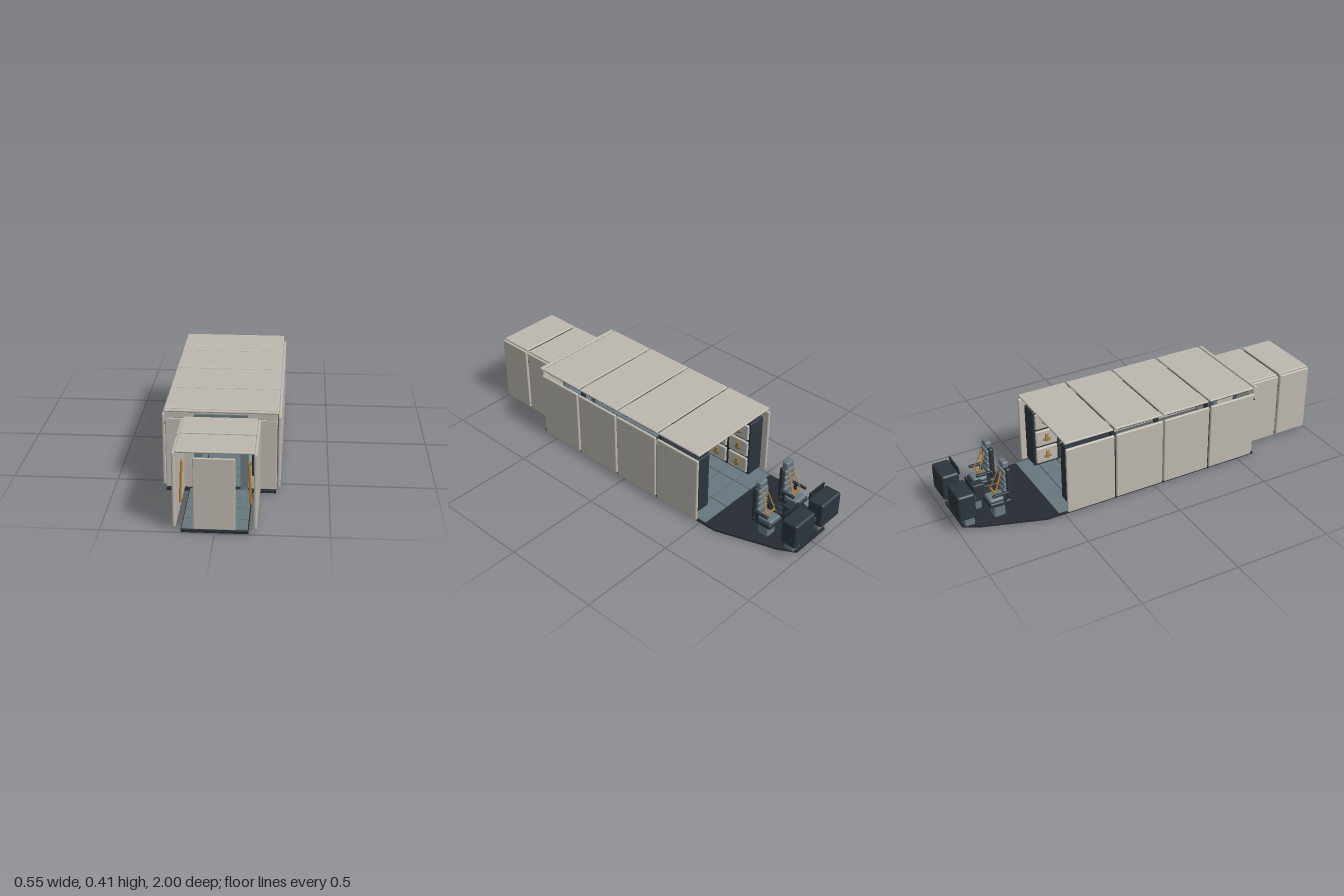
import * as THREE from 'three';
import { RoundedBoxGeometry } from 'three/addons/geometries/RoundedBoxGeometry.js';

function mat(name, color) {
  const m = new THREE.MeshStandardMaterial({ color });
  m.name = name;
  return m;
}

export function createModel() {
  const model = new THREE.Group();
  model.name = 'shipInterior';
  const ivory = mat('warm grey panel', 0xbdb8ae);
  const dark = mat('charcoal', 0x2c353d);
  const deck = mat('deck black', 0x252c31);
  const slate = mat('slate', 0x68787f);
  const orange = mat('ochre', 0xb87a2c);

  // Box given by its extents; r > 0 rounds the edges
  function box(parent, name, m, x0, x1, y0, y1, z0, z1, r = 0) {
    const w = x1 - x0, h = y1 - y0, d = z1 - z0;
    const g = r ? new RoundedBoxGeometry(w, h, d, 2, Math.min(r, w / 2.05, h / 2.05, d / 2.05))
      : new THREE.BoxGeometry(w, h, d);
    const mesh = new THREE.Mesh(g, m);
    mesh.name = name;
    mesh.position.set((x0 + x1) / 2, (y0 + y1) / 2, (z0 + z1) / 2);
    parent.add(mesh);
    return mesh;
  }
  // Same box on both sides of x = 0
  function pair(parent, name, m, x0, x1, ...rest) {
    box(parent, name, m, x0, x1, ...rest);
    box(parent, name, m, -x1, -x0, ...rest);
  }
  // Flat bar between two points
  function strap(parent, name, m, a, b, w, t) {
    const p = new THREE.Vector3(...a), q = new THREE.Vector3(...b);
    const mesh = new THREE.Mesh(new RoundedBoxGeometry(w, p.distanceTo(q), t, 2, Math.min(w, t) * 0.3), m);
    mesh.name = name;
    mesh.position.copy(p).lerp(q, 0.5);
    mesh.quaternion.setFromUnitVectors(new THREE.Vector3(0, 1, 0), q.sub(p).normalize());
    parent.add(mesh);
  }

  // Floors: cabin, corridor and tapering cockpit
  box(model, 'cabinFloor', deck, -0.255, 0.255, 0, 0.01, -0.53, 0.6);
  box(model, 'corridorFloor', deck, -0.147, 0.147, 0, 0.01, 0.6, 0.995);
  const outline = [[-0.255, 0.53], [0.255, 0.53], [0.255, 0.59], [0.155, 0.89], [0.11, 0.97],
    [-0.11, 0.97], [-0.155, 0.89], [-0.255, 0.59]].map(p => new THREE.Vector2(...p));
  const nose = new THREE.Mesh(
    new THREE.ExtrudeGeometry(new THREE.Shape(outline), { depth: 0.01, bevelEnabled: false }), deck);
  nose.name = 'cockpitFloor';
  nose.rotation.x = -Math.PI / 2;
  model.add(nose);

  // Floor tiles
  function tiles(edges, z0, z1, rows) {
    const step = (z1 - z0) / rows;
    for (let r = 0; r < rows; r++)
      for (let c = 0; c + 1 < edges.length; c++)
        box(model, 'floorTile', slate, edges[c] + 0.002, edges[c + 1] - 0.002, 0.01, 0.015,
          z0 + r * step + 0.002, z0 + (r + 1) * step - 0.002);
  }
  tiles([-0.25, -0.09, 0.09, 0.25], -0.53, 0.57, 11);
  tiles([-0.145, -0.048, 0.048, 0.145], 0.6, 0.985, 4);

  // Cabin bays: wall panels, roof panels and vent teeth beneath the roof
  for (let i = 0; i < 4; i++) {
    const z0 = -0.49 + i * 0.268, z1 = z0 + 0.259;
    pair(model, 'cabinWall', ivory, 0.259, 0.274, 0.016, 0.374, z0, z1, 0.006);
    box(model, 'cabinRoof', ivory, -0.262, 0.262, 0.394, 0.405, z0, z1, 0.005);
    pair(model, 'roofRail', dark, 0.232, 0.244, 0.388, 0.395, z0 + 0.02, z1 - 0.02);
    for (let k = 0; k < 12; k++)
      pair(model, 'ventTooth', dark, 0.244, 0.256, 0.389, 0.395, z0 + 0.025 + k * 0.018, z0 + 0.035 + k * 0.018);
  }
  // Ribs behind the panel joints
  for (const z of [-0.2265, 0.3095]) {
    pair(model, 'cabinRib', dark, 0.243, 0.258, 0.015, 0.34, z - 0.014, z + 0.014);
    pair(model, 'ribPost', dark, 0.22, 0.243, 0.33, 0.394, z - 0.006, z + 0.006);
  }
  pair(model, 'jointPlate', slate, 0.247, 0.258, 0.07, 0.285, 0.025, 0.06);
  for (const z of [-0.2265, 0.0415, 0.3095])
    box(model, 'roofBeam', dark, -0.15, 0.15, 0.385, 0.394, z - 0.01, z + 0.01);

  // Storage racks with strapped lockers
  for (const s of [1, -1]) {
    const rack = new THREE.Group();
    rack.name = 'storageRack';
    const side = (name, m, x0, x1, ...rest) =>
      s > 0 ? box(rack, name, m, x0, x1, ...rest) : box(rack, name, m, -x1, -x0, ...rest);
    side('rackBody', dark, 0.155, 0.25, 0.03, 0.345, -0.465, -0.19, 0.006);
    for (let c = 0; c < 2; c++)
      for (let r = 0; r < 3; r++) {
        const z = -0.455 + c * 0.135, y = 0.045 + r * 0.1;
        side('lockerDoor', ivory, 0.143, 0.16, y, y + 0.088, z, z + 0.117, 0.006);
        side('lockerStrap', orange, 0.137, 0.145, y + 0.022, y + 0.068, z + 0.05, z + 0.068, 0.003);
        side('lockerLatch', slate, 0.139, 0.145, y + 0.03, y + 0.04, z + 0.04, z + 0.078);
      }
    model.add(rack);
  }

  // Bulkhead between cabin and corridor
  pair(model, 'bulkheadPanel', ivory, 0.125, 0.257, 0.014, 0.362, 0.578, 0.592, 0.005);
  pair(model, 'doorPost', slate, 0.09, 0.125, 0.012, 0.375, 0.572, 0.6);
  box(model, 'doorLintel', slate, -0.123, 0.123, 0.365, 0.386, 0.572, 0.602);
  box(model, 'bulkheadHeader', ivory, -0.257, 0.257, 0.362, 0.396, 0.578, 0.592, 0.004);
  box(model, 'bulkheadCap', ivory, -0.262, 0.262, 0.394, 0.405, 0.582, 0.6, 0.005);
  pair(model, 'cornerClip', dark, 0.253, 0.259, 0.33, 0.338, 0.57, 0.59);

  // Corridor bays with grab rails and a wall console
  for (const [z0, z1] of [[0.612, 0.79], [0.802, 0.985]]) {
    pair(model, 'corridorWall', ivory, 0.168, 0.183, 0.017, 0.374, z0, z1, 0.006);
    box(model, 'corridorRoof', ivory, -0.17, 0.17, 0.37, 0.381, z0, z1, 0.005);
  }
  box(model, 'corridorBeam', dark, -0.15, 0.15, 0.363, 0.37, 0.785, 0.807);
  pair(model, 'corridorClip', dark, 0.16, 0.17, 0.3, 0.31, 0.785, 0.807);
  for (const s of [1, -1])
    strap(model, 'grabRail', orange, [s * 0.154, 0.108, 0.925], [s * 0.145, 0.31, 0.925], 0.01, 0.014);
  box(model, 'wallConsole', dark, 0.15, 0.167, 0.163, 0.29, 0.66, 0.76, 0.005);
  box(model, 'consoleKnob', slate, 0.14, 0.15, 0.195, 0.21, 0.7, 0.72, 0.003);

  // Front door slab
  box(model, 'frontDoor', ivory, -0.091, 0.091, 0.018, 0.355, 0.988, 1.0, 0.004);
  box(model, 'doorSill', dark, -0.07, 0.07, 0.01, 0.018, 0.985, 0.998);

  // Pilot seats facing -z
  for (const s of [1, -1]) {
    const seat = new THREE.Group();
    seat.name = 'pilotSeat';
    seat.position.x = s * 0.1;
    box(seat, 'seatPedestal', slate, -0.03, 0.03, 0.01, 0.08, -0.81, -0.752, 0.006);
    box(seat, 'seatBase', dark, -0.05, 0.05, 0.08, 0.105, -0.835, -0.725, 0.008);
    box(seat, 'seatCushion', slate, -0.038, 0.038, 0.1, 0.12, -0.83, -0.745, 0.008);
    box(seat, 'seatBack', dark, -0.043, 0.043, 0.09, 0.27, -0.742, -0.718, 0.008);
    for (let k = 0; k < 4; k++)
      box(seat, 'backPad', slate, -0.034, 0.034, 0.125 + k * 0.035, 0.155 + k * 0.035, -0.754, -0.738, 0.006);
    box(seat, 'headrest', slate, -0.027, 0.027, 0.268, 0.302, -0.752, -0.72, 0.008);
    for (const a of [1, -1]) {
      box(seat, 'armrest', dark, a * 0.047 - 0.007, a * 0.047 + 0.007, 0.14, 0.153, -0.82, -0.735, 0.004);
      box(seat, 'armrestPost', dark, a * 0.047 - 0.004, a * 0.047 + 0.004, 0.1, 0.142, -0.765, -0.75);
      strap(seat, 'harnessStrap', orange, [a * 0.014, 0.25, -0.757], [a * 0.03, 0.145, -0.8], 0.008, 0.005);
    }
    box(seat, 'lapBelt', orange, -0.03, 0.03, 0.143, 0.149, -0.803, -0.795);
    model.add(seat);

    // Flight console ahead of each seat
    const desk = new THREE.Group();
    desk.name = 'flightConsole';
    desk.position.x = s * 0.1;
    box(desk, 'consolePedestal', slate, -0.03, 0.03, 0.01, 0.08, -0.96, -0.91, 0.005);
    box(desk, 'consoleBody', dark, -0.072, 0.072, 0.077, 0.212, -1.0, -0.912, 0.012);
    const hood = box(desk, 'consoleScreen', deck, -0.055, 0.055, 0.19, 0.232, -0.912, -0.904);
    hood.rotation.x = -0.15;
    for (let k = 0; k < 5; k++)
      box(desk, 'consoleKey', slate, -0.048 + k * 0.021, -0.036 + k * 0.021, 0.165, 0.178, -0.913, -0.905);
    model.add(desk);
  }

  // Centre console
  box(model, 'centreConsole', dark, -0.025, 0.025, 0.055, 0.148, -0.9, -0.81, 0.006);
  box(model, 'centreTray', dark, -0.025, 0.025, 0.055, 0.085, -0.82, -0.745, 0.005);
  box(model, 'centrePedestal', slate, -0.018, 0.018, 0.01, 0.058, -0.88, -0.83);
  box(model, 'centreBridge', dark, -0.03, 0.03, 0.1, 0.13, -0.97, -0.895, 0.005);
  return model;
}
